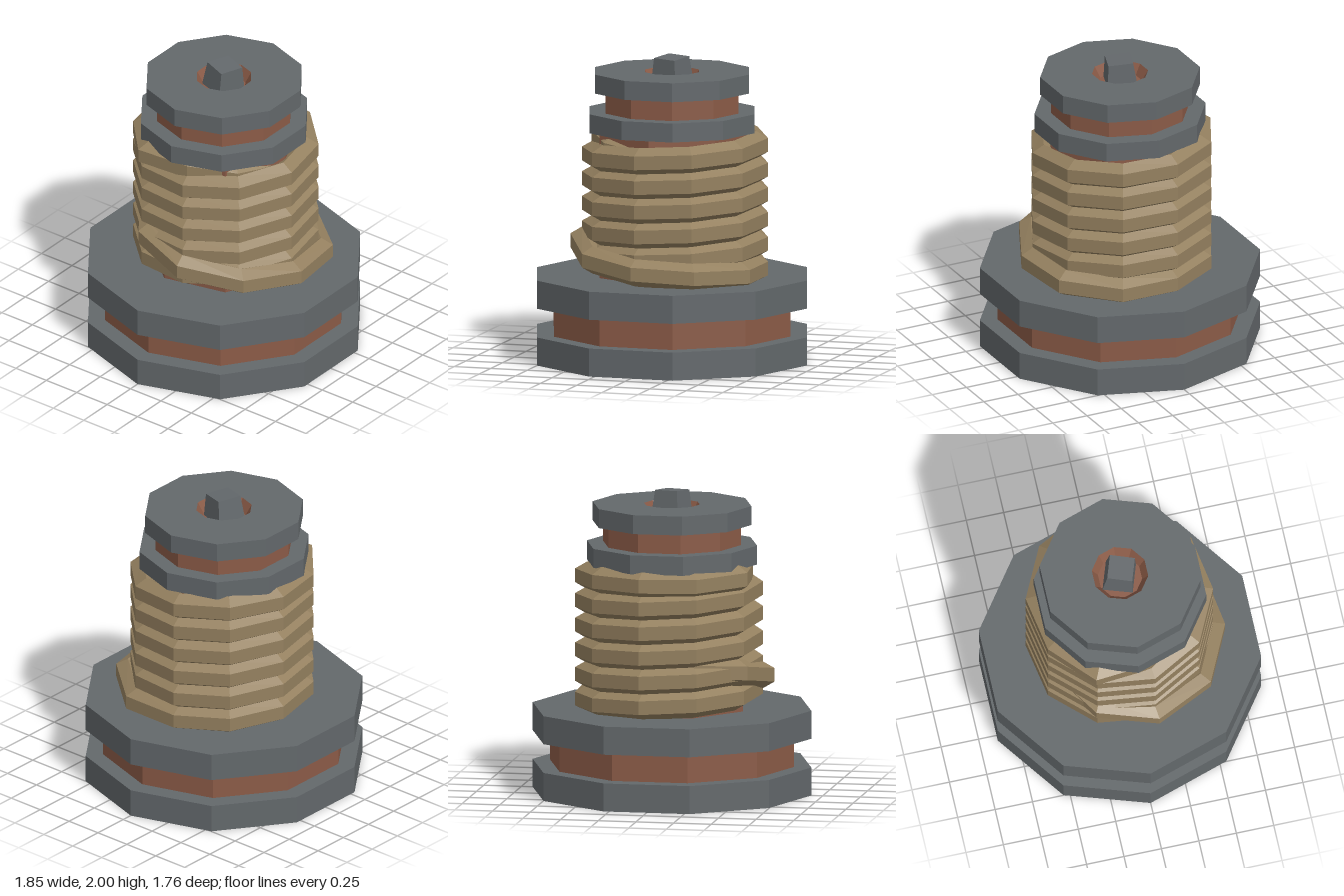
import * as THREE from 'three';

const SIDES = 10;
const makeMaterial = (color) => new THREE.MeshStandardMaterial({ color, flatShading: true });

// Sweeps a hexagonal section along points given as [angle in degrees, radius, height]
function ropeGeometry(path, size, offsetX) {
  const n = 6, pos = [], index = [];
  for (const [deg, r, y] of path) {
    const t = THREE.MathUtils.degToRad(deg);
    for (let j = 0; j < n; j++) {
      const a = ((j + 0.5) / n) * Math.PI * 2;
      const rr = r + Math.cos(a) * size;
      pos.push(Math.sin(t) * rr + offsetX, y + Math.sin(a) * size, Math.cos(t) * rr);
    }
  }
  const last = (path.length - 1) * n;
  for (let i = 0; i < last; i += n) {
    for (let j = 0; j < n; j++) {
      const k = (j + 1) % n;
      index.push(i + j, i + n + j, i + k, i + n + j, i + n + k, i + k);
    }
  }
  // end caps
  for (let j = 1; j < n - 1; j++) {
    index.push(0, j, j + 1, last, last + j + 1, last + j);
  }
  const g = new THREE.BufferGeometry();
  g.setAttribute('position', new THREE.Float32BufferAttribute(pos, 3));
  g.setIndex(index);
  g.computeVertexNormals();
  return g;
}

export function createModel() {
  const group = new THREE.Group();
  const metal = makeMaterial(0x63686b);
  const wood = makeMaterial(0x8b5b47);
  const ropeMat = makeMaterial(0x94805f);

  const add = (name, geometry, material) => {
    const mesh = new THREE.Mesh(geometry, material);
    mesh.name = name;
    group.add(mesh);
    return mesh;
  };
  const drum = (name, material, r, y0, y1, turn = Math.PI / 2, sides = SIDES) => {
    const mesh = add(name, new THREE.CylinderGeometry(r, r, y1 - y0, sides), material);
    mesh.position.y = (y0 + y1) / 2;
    mesh.rotation.y = turn;
    return mesh;
  };
  const lathe = (name, material, profile) => add(name, new THREE.LatheGeometry(
    profile.map(([x, y]) => new THREE.Vector2(x, y)), SIDES, Math.PI / 2), material);

  // stepped base
  drum('basePlate', metal, 0.925, 0, 0.185);
  drum('baseCore', wood, 0.81, 0.185, 0.375);
  drum('baseTopPlate', metal, 0.925, 0.375, 0.56);

  // post and collars
  drum('post', wood, 0.505, 0.56, 1.515, 0, 7);
  drum('lowerCollar', metal, 0.565, 1.515, 1.64);
  drum('neck', wood, 0.457, 1.64, 1.775);

  // top collar with a recessed socket
  lathe('topCollar', metal, [[0, 1.775], [0.527, 1.775], [0.527, 1.9], [0.185, 1.9]]);
  lathe('socket', wood, [[0.185, 1.9], [0.145, 1.83], [0, 1.83]]);

  // square tapered pin, slightly tilted
  const pin = add('pin', new THREE.CylinderGeometry(0.116, 0.145, 0.2, 4), metal);
  pin.position.set(0, 1.892, 0);
  pin.rotation.set(0.07, 0.46, 0, 'XYZ');

  // rope: loose lower end, regular coils, tucked upper end
  const path = [
    [-152, 0.48, 0.87], [-116, 0.56, 0.84], [-80, 0.61, 0.77], [-43, 0.615, 0.7],
    [-7, 0.615, 0.655], [28, 0.63, 0.635], [64, 0.6, 0.615],
  ];
  for (let k = 0; k <= 53; k++) {
    path.push([100 + 36 * k, 0.535, Math.min(0.61 + 0.0163 * k, 1.445)]);
  }
  path.push([2044, 0.56, 1.46], [2080, 0.47, 1.455], [2116, 0.45, 1.42], [2152, 0.41, 1.38]);
  add('rope', ropeGeometry(path, 0.09, 0.02), ropeMat);

  return group;
}
